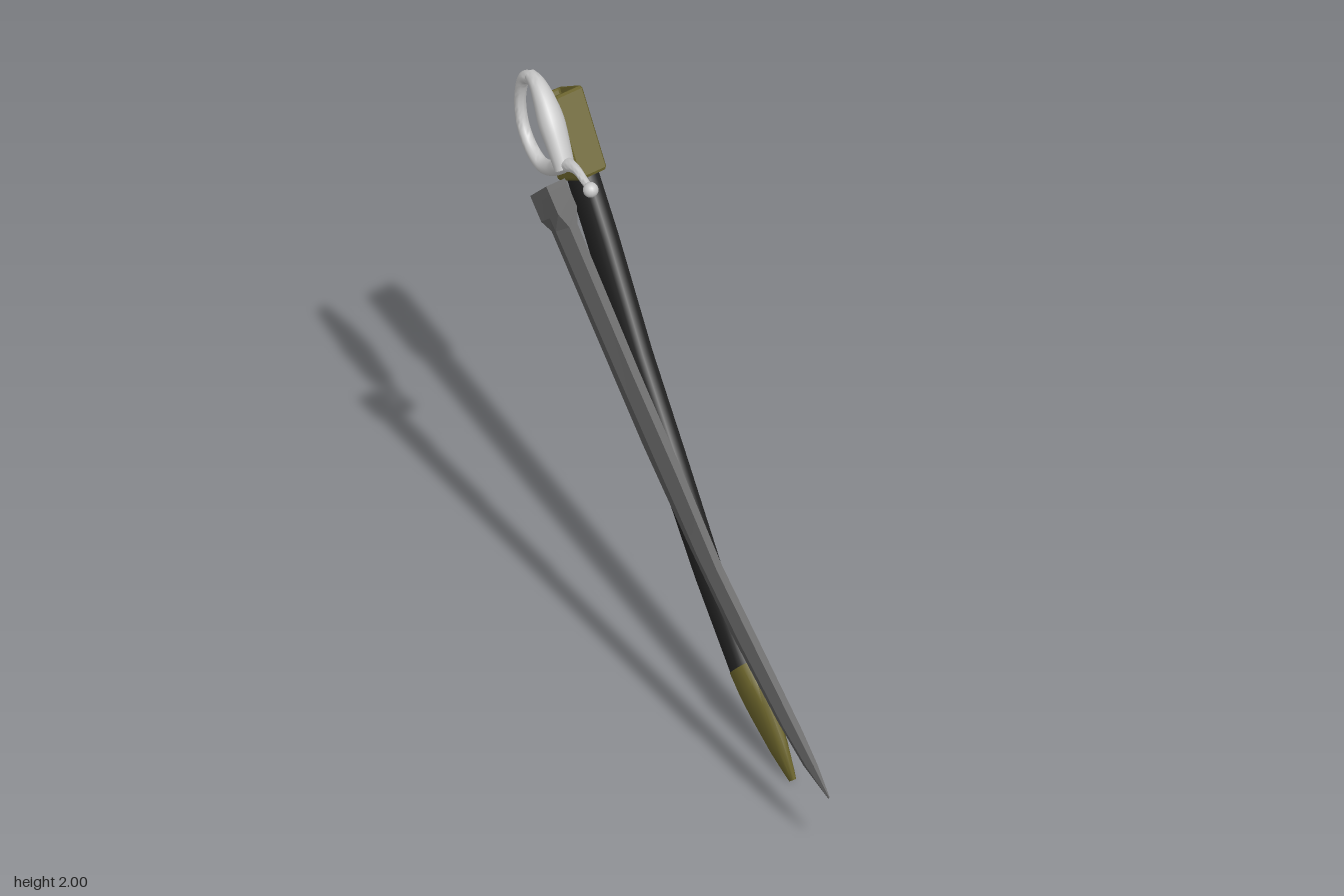
import * as THREE from 'three';
import { toCreasedNormals } from 'three/addons/utils/BufferGeometryUtils.js';

const material = (name, color) => new THREE.MeshStandardMaterial({ name, color });

// Cross-sections as [across, along] pairs in -1..1
const oval = (n, power = 1) => Array.from({ length: n }, (_, i) => {
  const a = (i / n) * Math.PI * 2;
  const f = (v) => Math.sign(v) * Math.abs(v) ** power;
  return [f(Math.cos(a)), f(Math.sin(a))];
});
const hexagon = (e) => [[1, 0], [e, 1], [-e, 1], [-1, 0], [-e, -1], [e, -1]];
const softBox = [[1, 0.9], [0.88, 1], [-0.88, 1], [-1, 0.9], [-1, -0.9], [-0.88, -1], [0.88, -1], [1, -0.9]];

// Skins stations [frontZ, frontY, backZ, backY, halfThickness]; xAt(z) leans the part sideways
function loft(name, mat, stations, sectionAt, xAt, crease) {
  const pos = [], index = [];
  let n = 0;
  stations.forEach(([az, ay, bz, by, hx], i) => {
    const section = sectionAt(i);
    n = section.length;
    for (const [p, q] of section) {
      const z = (az + bz) / 2 + (q * (az - bz)) / 2;
      pos.push(xAt(z) + p * hx, (ay + by) / 2 + (q * (ay - by)) / 2, z);
    }
  });
  const last = (stations.length - 1) * n;
  for (let i = 0; i < last; i += n) {
    for (let j = 0; j < n; j++) {
      const k = (j + 1) % n;
      index.push(i + j, i + k, i + n + k, i + j, i + n + k, i + n + j);
    }
  }
  for (let j = 1; j < n - 1; j++) {
    index.push(0, j + 1, j, last, last + j, last + j + 1);
  }
  const geometry = new THREE.BufferGeometry();
  geometry.setAttribute('position', new THREE.Float32BufferAttribute(pos, 3));
  geometry.setIndex(index);
  const mesh = new THREE.Mesh(toCreasedNormals(geometry, crease), mat);
  mesh.name = name;
  return mesh;
}

// Turns a path of [z, y, radius] points into round stations
function roundStations(points, count) {
  const curve = new THREE.CatmullRomCurve3(points.map(([z, y, r]) => new THREE.Vector3(r, y, z)));
  return Array.from({ length: count + 1 }, (_, i) => {
    const { x: r, y, z } = curve.getPoint(i / count);
    const t = curve.getTangent(i / count);
    const s = r / Math.hypot(t.y, t.z);
    return [z - t.y * s, y + t.z * s, z + t.y * s, y - t.z * s, r];
  });
}

export function createModel() {
  const steel = material('dark steel', 0x5c5c5c);
  const silver = material('pale metal', 0xc8c8c8);
  const leather = material('black leather', 0x222222);
  const brass = material('aged brass', 0x68612a);

  const model = new THREE.Group();
  model.name = 'sabreAndScabbard';
  const sabre = new THREE.Group();
  sabre.name = 'sabre';
  const scabbard = new THREE.Group();
  scabbard.name = 'scabbard';
  model.add(sabre, scabbard);

  // Curved blade: square shoulder, then a ridged section running to the point
  const blade = [
    [-0.42, 1.76, -0.5, 1.68, 0.036],
    [-0.36, 1.69, -0.445, 1.615, 0.036],
    [-0.33, 1.65, -0.42, 1.585, 0.034],
    [-0.02, 1.28, -0.16, 1.275, 0.03],
    [0.2, 1.03, 0.03, 1.05, 0.028],
    [0.4, 0.79, 0.25, 0.815, 0.027],
    [0.6, 0.6, 0.46, 0.605, 0.026],
    [0.8, 0.41, 0.7, 0.4, 0.023],
    [0.88, 0.33, 0.83, 0.302, 0.016],
    [0.95, 0.248, 0.945, 0.243, 0.003],
  ];
  sabre.add(loft('blade', steel, blade, (i) => hexagon(i < 2 ? 1 : 0.45),
    (z) => -0.204 - 0.013 * z, 0.2));

  // Swelling grip
  const hiltX = (z) => -0.165 - (z + 0.3) * 0.17;
  const round = oval(16);
  const grip = [
    [-0.45, 1.77, 0.034], [-0.493, 1.833, 0.04], [-0.536, 1.89, 0.044],
    [-0.583, 1.944, 0.036], [-0.626, 1.974, 0.027], [-0.668, 1.978, 0.02],
  ];
  sabre.add(loft('grip', silver, roundStations(grip, 20), () => round, hiltX, 1));

  // Knuckle guard looping from the pommel to the quillon
  const guard = [
    [-0.64, 1.978, 0.021], [-0.7, 1.95, 0.021], [-0.726, 1.89, 0.02], [-0.729, 1.82, 0.02],
    [-0.707, 1.757, 0.021], [-0.66, 1.712, 0.022], [-0.594, 1.694, 0.023], [-0.53, 1.72, 0.024],
    [-0.477, 1.762, 0.026], [-0.435, 1.793, 0.022], [-0.376, 1.81, 0.015],
    [-0.33, 1.802, 0.013], [-0.29, 1.794, 0.013],
  ];
  sabre.add(loft('knuckleGuard', silver, roundStations(guard, 60), () => round, hiltX, 1));

  const knob = new THREE.Mesh(new THREE.SphereGeometry(0.024, 16, 12), silver);
  knob.name = 'quillonKnob';
  knob.position.set(hiltX(-0.29), 1.792, -0.288);
  sabre.add(knob);

  // Leather sheath body
  const sheathX = (z) => 0.038 - 0.151 * z;
  const sheath = [
    [-0.685, 1.52, -0.805, 1.445, 0.044],
    [-0.55, 1.345, -0.68, 1.28, 0.044],
    [-0.34, 1.04, -0.46, 0.97, 0.043],
    [-0.13, 0.78, -0.24, 0.7, 0.042],
    [0.085, 0.505, -0.01, 0.43, 0.04],
    [0.295, 0.285, 0.212, 0.203, 0.039],
  ];
  const sheathSection = oval(14, 0.8);
  scabbard.add(loft('sheath', leather, sheath, () => sheathSection, sheathX, 0.7));

  // Tapering brass tip
  const chape = [
    [0.29, 0.295, 0.207, 0.208, 0.042],
    [0.355, 0.262, 0.262, 0.158, 0.04],
    [0.415, 0.222, 0.315, 0.118, 0.034],
    [0.5, 0.125, 0.43, 0.05, 0.022],
    [0.55, 0.052, 0.51, 0.014, 0.012],
    [0.565, 0.028, 0.535, 0.003, 0.008],
  ];
  scabbard.add(loft('chape', brass, chape, () => sheathSection, sheathX, 0.7));

  // Hollow brass throat, skinned from the inner floor over the rim and down the outside
  const mix = THREE.MathUtils.lerp;
  const throat = [
    [0.6, 0.7], [0.02, 0.74], [0, 0.78], [0, 0.93], [0.03, 1], [0.97, 1], [1, 0.93],
  ].map(([s, k]) => {
    const a = [mix(-0.815, -0.66, s), mix(1.722, 1.508, s)];
    const b = [mix(-0.955, -0.8, s), mix(1.628, 1.42, s)];
    const c = [(a[0] + b[0]) / 2, (a[1] + b[1]) / 2];
    return [mix(c[0], a[0], k), mix(c[1], a[1], k), mix(c[0], b[0], k), mix(c[1], b[1], k), 0.053 * k];
  });
  scabbard.add(loft('throat', brass, throat, () => softBox, sheathX, 0.4));

  return model;
}
